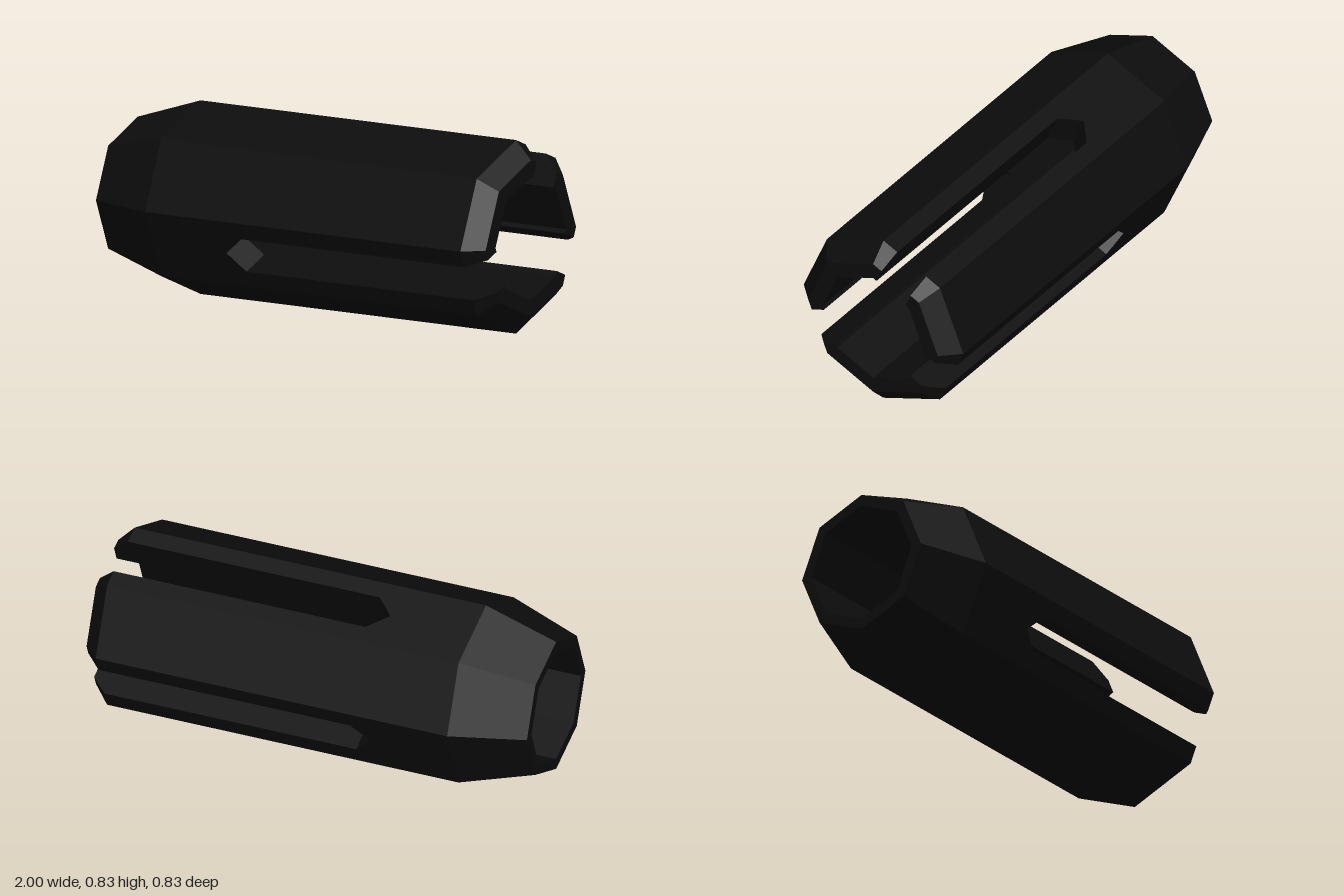
import * as THREE from 'three';

const R = 0.413, BORE = 0.262;          // corner radii of the octagon
const APO = Math.cos(Math.PI / 8);      // corner radius -> flat distance
const TAN = Math.tan(Math.PI / 8);      // flat distance -> half side
const SLOT_W = 0.081, SLOT_X = -0.225, SLOT_TIP = -0.306;
const SLOTTED = [0, 2, 5];              // sides that carry a slot
// outer profile [x, corner radius]: tapered rear, straight body, chamfered mouth
const PROFILE = [[-1, 0.31], [-0.68, R], [0.925, R], [1, 0.335]];

export function createModel() {
  const black = new THREE.MeshStandardMaterial({ color: 0x0d0d0d, flatShading: true });
  const group = new THREE.Group();
  const parts = { outerShell: [], bore: [], endRims: [], slotWalls: [] };

  // point on side k: x along the axis, u across the side, r = corner radius there
  const point = (k, x, u, r) => {
    const t = (k + 0.5) * Math.PI / 4, a = r * APO;
    return new THREE.Vector3(x,
      R + a * Math.cos(t) - u * Math.sin(t),
      -a * Math.sin(t) - u * Math.cos(t));
  };
  const radial = (k) => {
    const t = (k + 0.5) * Math.PI / 4;
    return new THREE.Vector3(0, Math.cos(t), -Math.sin(t));
  };

  // flat polygon facing the given way; flat = its 2D outline for triangulation
  const addFace = (part, flat, pts, facing) => {
    const outline = flat.map(([a, b]) => new THREE.Vector2(a, b));
    for (const [i, j, l] of THREE.ShapeUtils.triangulateShape(outline, [])) {
      const [a, b, c] = [pts[i], pts[j], pts[l]];
      const n = b.clone().sub(a).cross(c.clone().sub(a));
      const tri = n.dot(facing) > 0 ? [a, b, c] : [a, c, b];
      tri.forEach((p) => parts[part].push(p.x, p.y, p.z));
    }
  };
  const square = [[0, 0], [1, 0], [1, 1], [0, 1]];
  const half = (r) => r * APO * TAN;

  // slot outline at the mouth side, from one edge round the V end to the other
  const notch = (x) => [[x, SLOT_W], [SLOT_X, SLOT_W], [SLOT_TIP, 0], [SLOT_X, -SLOT_W], [x, -SLOT_W]];

  for (let k = 0; k < 8; k++) {
    const slotted = SLOTTED.includes(k);
    const out = radial(k), inward = out.clone().negate();

    // long side panel, with the slot cut in from the mouth
    const panel = (part, x0, x1, r, facing) => {
      const w = half(r);
      const flat = [[x1, -w], [x0, -w], [x0, w], [x1, w], ...(slotted ? notch(x1) : [])];
      addFace(part, flat, flat.map(([x, u]) => point(k, x, u, r)), facing);
    };
    panel('outerShell', PROFILE[1][0], PROFILE[2][0], R, out);
    panel('bore', -1, 1, BORE, inward);

    // strip between two rings, split by the slot at the mouth
    const strip = (part, [xa, ra], [xb, rb], facing, split) => {
      const wa = half(ra), wb = half(rb);
      const spans = split
        ? [[-wa, -SLOT_W, -wb, -SLOT_W], [SLOT_W, wa, SLOT_W, wb]]
        : [[-wa, wa, -wb, wb]];
      for (const [a0, a1, b0, b1] of spans) {
        addFace(part, square, [point(k, xa, a0, ra), point(k, xa, a1, ra),
          point(k, xb, b1, rb), point(k, xb, b0, rb)], facing);
      }
    };
    strip('outerShell', PROFILE[0], PROFILE[1], out, false);
    strip('outerShell', PROFILE[2], PROFILE[3], out, slotted);
    strip('endRims', [-1, BORE], PROFILE[0], new THREE.Vector3(-1, 0, 0), false);
    strip('endRims', [1, BORE], PROFILE[3], new THREE.Vector3(1, 0, 0), slotted);

    // walls through the thickness along the slot
    if (slotted) {
      const [xc] = PROFILE[2], [xm, rm] = PROFILE[3];
      const centre = point(k, 0.3, 0, (R + BORE) / 2);
      const n = notch(xc);
      for (let i = 0; i < 4; i++) {
        const [[xa, ua], [xb, ub]] = [n[i], n[i + 1]];
        const pts = [point(k, xa, ua, BORE), point(k, xb, ub, BORE),
          point(k, xb, ub, R), point(k, xa, ua, R)];
        addFace('slotWalls', square, pts, centre.clone().sub(pts[0].clone().add(pts[2]).multiplyScalar(0.5)));
      }
      for (const s of [-1, 1]) {
        const u = s * SLOT_W;
        const facing = point(k, 0, 0, R).sub(point(k, 0, u, R));
        addFace('slotWalls', square, [point(k, xc, u, BORE), point(k, xm, u, BORE),
          point(k, xm, u, rm), point(k, xc, u, R)], facing);
      }
    }
  }

  for (const [name, positions] of Object.entries(parts)) {
    const geometry = new THREE.BufferGeometry();
    geometry.setAttribute('position', new THREE.Float32BufferAttribute(positions, 3));
    geometry.computeVertexNormals();
    const mesh = new THREE.Mesh(geometry, black);
    mesh.name = name;
    group.add(mesh);
  }
  black.name = 'black';
  group.name = 'slottedOctagonalSleeve';
  return group;
}
